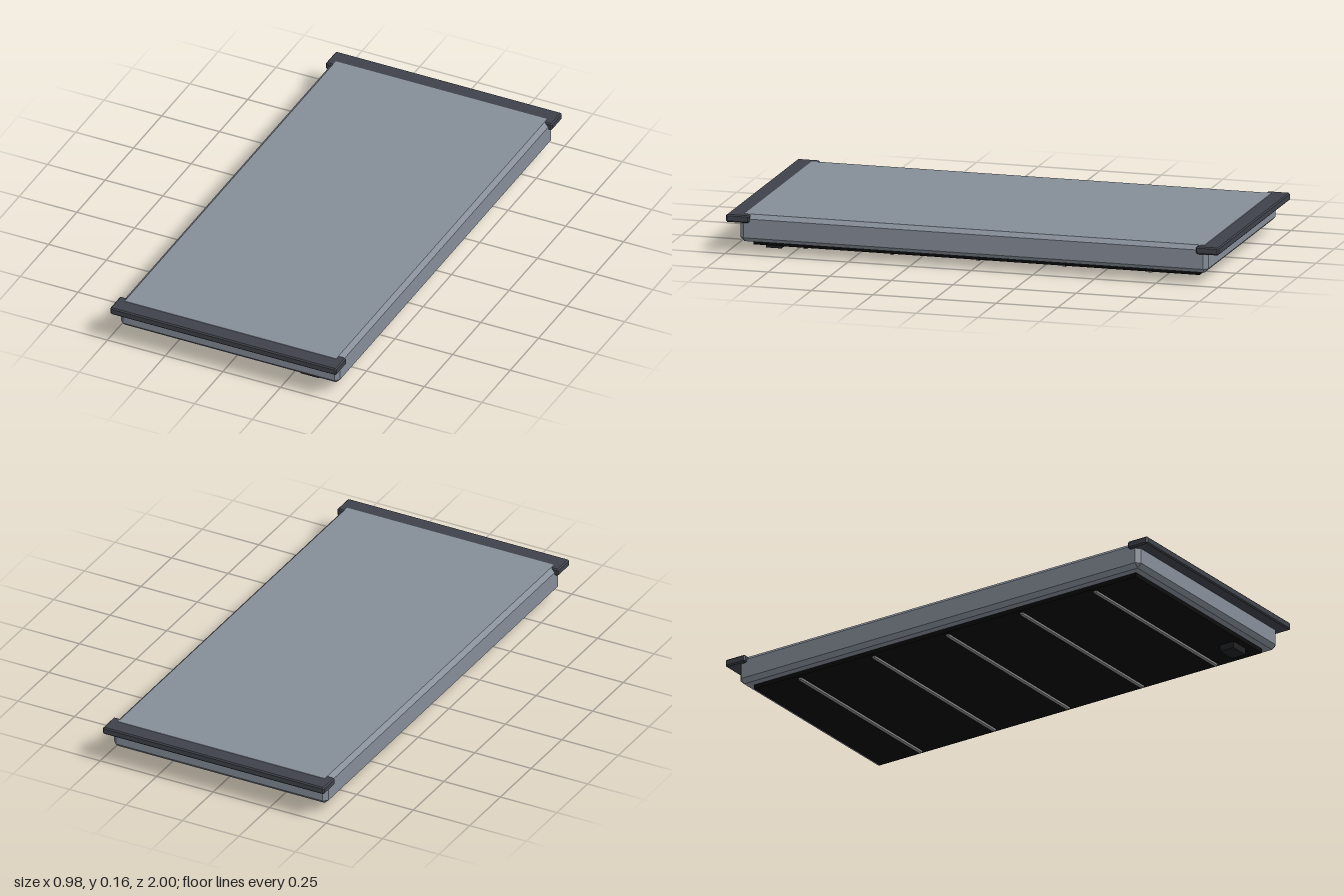
import * as THREE from 'three';
import { ConvexGeometry } from 'three/addons/geometries/ConvexGeometry.js';

// Box with every edge cut at 45 degrees by c
function chamferBox(w, h, d, c) {
  const points = [];
  for (const sx of [-1, 1]) for (const sy of [-1, 1]) for (const sz of [-1, 1]) {
    const x = w / 2, y = h / 2, z = d / 2;
    points.push(
      new THREE.Vector3(sx * x, sy * (y - c), sz * (z - c)),
      new THREE.Vector3(sx * (x - c), sy * y, sz * (z - c)),
      new THREE.Vector3(sx * (x - c), sy * (y - c), sz * z),
    );
  }
  return new ConvexGeometry(points);
}

export function createModel() {
  const group = new THREE.Group();
  const mat = (color) => new THREE.MeshStandardMaterial({ color, flatShading: true });
  const bodyMat = mat(0x858d98);
  const capMat = mat(0x3e424a);
  const backMat = mat(0x080808);
  const boxMat = mat(0x1e1f21);
  const ribMat = mat(0x8a8a8a);

  function add(name, geometry, material, x, y, z) {
    const mesh = new THREE.Mesh(geometry, material);
    mesh.name = name;
    mesh.position.set(x, y, z);
    group.add(mesh);
  }

  // Main slab with chamfered edges
  add('panelBody', chamferBox(0.95, 0.11, 1.9, 0.017), bodyMat, 0, 0.1, 0);

  // Rails across both ends, a hair lower than the slab top
  for (const s of [-1, 1]) {
    add(s > 0 ? 'frontRail' : 'backRail', chamferBox(0.98, 0.03, 0.093, 0.005), capMat, 0, 0.139, s * 0.9535);
  }

  // Dark backing sheet under the slab
  add('backSheet', new THREE.BoxGeometry(0.856, 0.019, 1.81), backMat, 0, 0.0365, 0);

  // Cross ribs on the underside
  for (let i = -2; i <= 2; i++) {
    add('crossRib', new THREE.BoxGeometry(0.824, 0.012, 0.014), ribMat, 0, 0.025, i * 0.35);
  }

  // Connection box near one front corner
  add('junctionBox', new THREE.BoxGeometry(0.08, 0.03, 0.064), boxMat, 0.316, 0.015, 0.845);

  return group;
}
